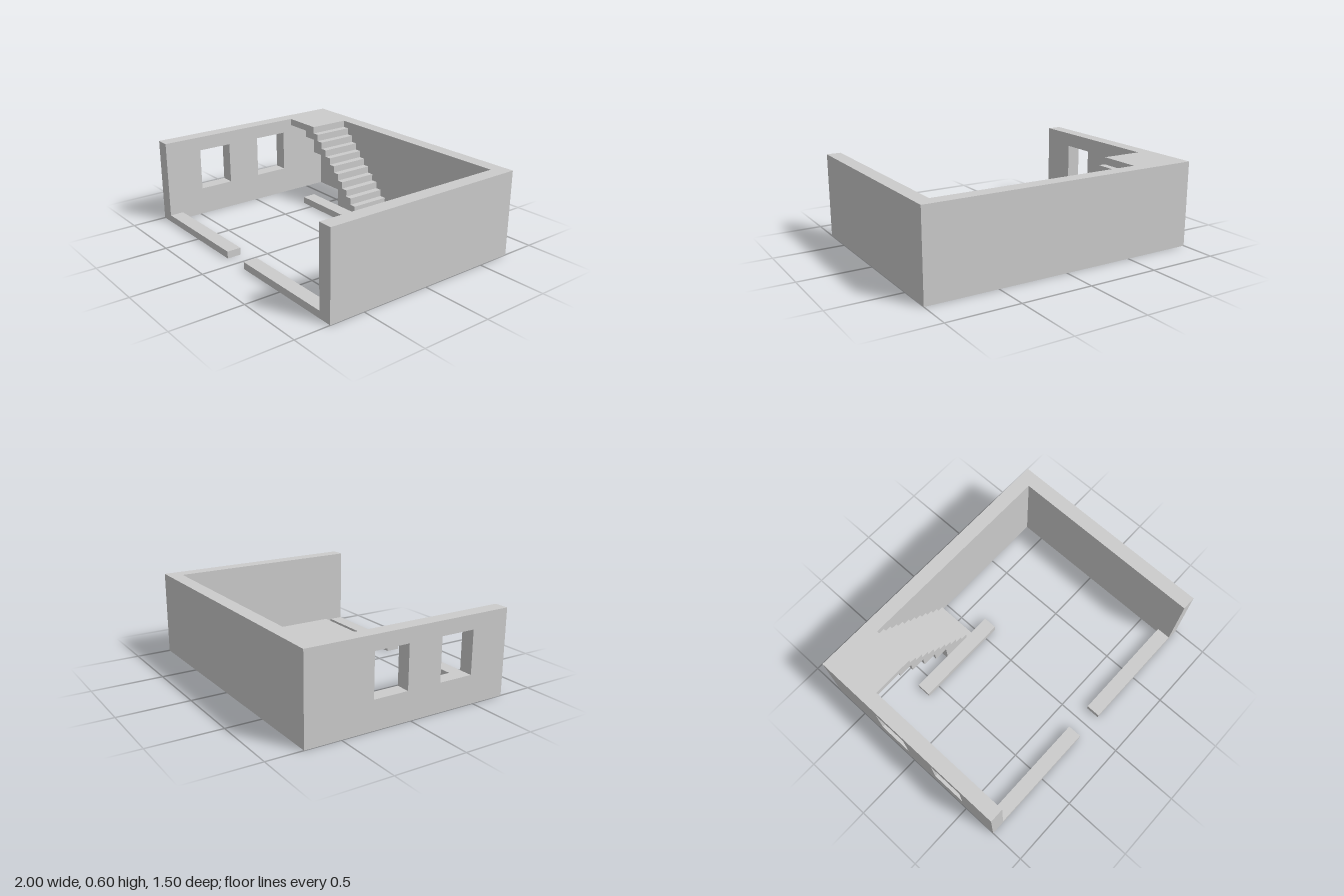
import * as THREE from 'three';

const W = 1, D = 0.75, H = 0.6, T = 0.1; // half width, half depth, wall height, wall thickness
const CURB = 0.05;

export function createModel() {
  const model = new THREE.Group();
  model.name = 'roomWithStairs';
  const material = new THREE.MeshStandardMaterial({ color: 0xcccccc, flatShading: true });

  const add = (name, geometry) => {
    const mesh = new THREE.Mesh(geometry, material);
    mesh.name = name;
    model.add(mesh);
  };

  // Box given by its extents
  const block = (name, x0, x1, y0, y1, z0, z1) => {
    const g = new THREE.BoxGeometry(x1 - x0, y1 - y0, z1 - z0);
    g.translate((x0 + x1) / 2, (y0 + y1) / 2, (z0 + z1) / 2);
    add(name, g);
  };

  const rect = (Type, x0, x1, y0, y1) => {
    const p = new Type();
    p.moveTo(x0, y0).lineTo(x1, y0).lineTo(x1, y1).lineTo(x0, y1).closePath();
    return p;
  };

  // Full-height walls
  block('backWall', -W, W, 0, H, -D, -D + T);
  block('leftWall', W - T, W, 0, H, -D + T, D);

  // Right wall, drawn in (z, y), with two windows
  const panel = rect(THREE.Shape, -D + T, D, 0, H);
  for (const z of [-0.15, 0.35]) {
    panel.holes.push(rect(THREE.Path, z - 0.125, z + 0.125, 0.2, 0.5));
  }
  const wall = new THREE.ExtrudeGeometry(panel, { depth: T, bevelEnabled: false });
  wall.rotateY(-Math.PI / 2).translate(-W + T, 0, 0);
  add('windowWall', wall);

  // Low front walls either side of the doorway, and the one beside the stairs
  block('frontCurbRight', -W + T, -0.1, 0, CURB, D - T, D);
  block('frontCurbLeft', 0.1, W - T, 0, CURB, D - T, D);
  block('stairCurb', -0.6, 0.1, 0, CURB, -0.35, -0.25);

  // Landing and stairs as one profile: fine treads above, coarse steps below
  const points = [[-0.9, H], [-0.9, 0.55], [-0.7, 0.55], [-0.7, 0.5]];
  for (let i = 0; i < 4; i++) {
    const x = -0.6 + i * 0.1, y = 0.5 - i * 0.1;
    points.push([x, y], [x, i < 3 ? y - 0.1 : 0]);
  }
  points.push([-0.05, 0]);
  for (let i = 0; i < 11; i++) {
    const x = -0.05 - i * 0.05, y = 0.05 + i * 0.05;
    points.push([x, y], [x - 0.05, y]);
  }
  points.push([-0.6, H]);
  const profile = new THREE.Shape(points.map(([x, y]) => new THREE.Vector2(x, y)));
  const stairs = new THREE.ExtrudeGeometry(profile, { depth: 0.3, bevelEnabled: false });
  stairs.translate(0, 0, -0.65);
  add('stairsAndLanding', stairs);

  return model;
}
